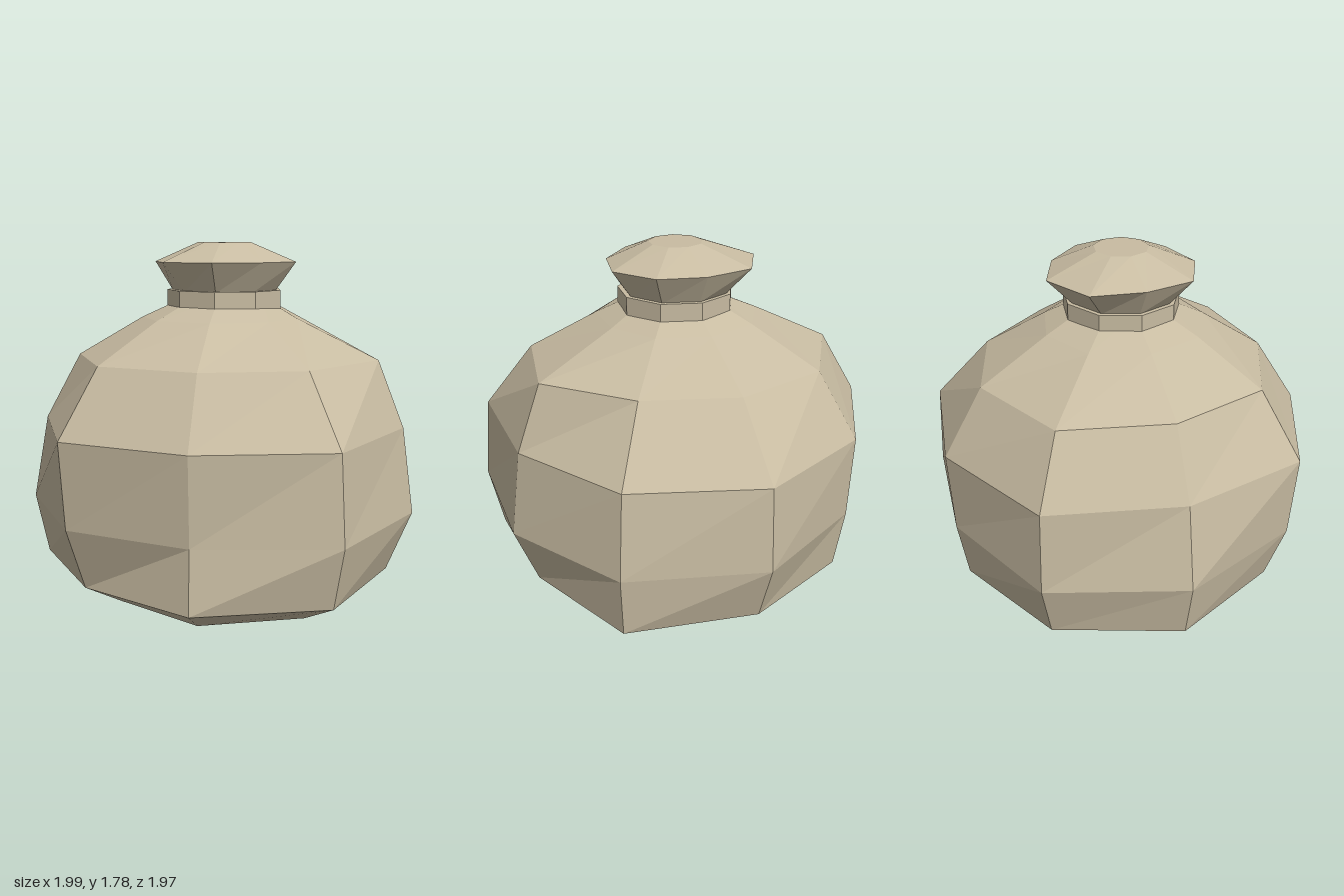
import * as THREE from 'three';

const SIDES = 9;
const CENTRE_X = -0.01;
const CENTRE_Z = 0.04;

// Faceted loft through rings of [height, radius or list of nine radii], closed at both ends.
function loft(rings) {
  const pos = [];
  const index = [];
  for (const [y, r] of rings) {
    for (let k = 0; k < SIDES; k++) {
      const a = (k / SIDES) * Math.PI * 2;
      const radius = Array.isArray(r) ? r[k] : r;
      pos.push(CENTRE_X + radius * Math.cos(a), y, CENTRE_Z + radius * Math.sin(a));
    }
  }
  const last = rings.length - 1;
  const bottom = rings.length * SIDES;
  const top = bottom + 1;
  pos.push(CENTRE_X, rings[0][0], CENTRE_Z, CENTRE_X, rings[last][0], CENTRE_Z);
  for (let k = 0; k < SIDES; k++) {
    const n = (k + 1) % SIDES;
    for (let i = 0; i < last; i++) {
      const a = i * SIDES + k;
      const b = i * SIDES + n;
      index.push(b, a, a + SIDES, b, a + SIDES, b + SIDES);
    }
    index.push(bottom, k, n);
    index.push(top, last * SIDES + n, last * SIDES + k);
  }
  const indexed = new THREE.BufferGeometry();
  indexed.setAttribute('position', new THREE.Float32BufferAttribute(pos, 3));
  indexed.setIndex(index);
  const geometry = indexed.toNonIndexed();
  geometry.computeVertexNormals();
  return geometry;
}

export function createModel() {
  const model = new THREE.Group();
  model.name = 'tiedSack';
  const cloth = new THREE.MeshStandardMaterial({ color: 0xc8bca2 });
  cloth.name = 'beigeCloth';
  cloth.flatShading = true;

  const add = (name, rings) => {
    const mesh = new THREE.Mesh(loft(rings), cloth);
    mesh.name = name;
    model.add(mesh);
  };

  // Bulging, uneven bag
  add('sackBody', [
    [0, [0.68, 0.76, 0.76, 0.68, 0.70, 0.74, 0.71, 0.70, 0.78]],
    [0.123, [0.88, 0.99, 0.96, 0.89, 0.96, 0.96, 0.92, 0.93, 1.02]],
    [0.433, [1.005, 1.065, 0.93, 0.99, 1.025, 1.053, 0.97, 1.04, 1.05]],
    [0.866, [0.946, 1.03, 0.948, 1.018, 0.945, 1.036, 0.99, 1.018, 0.995]],
    [1.2, [0.812, 0.77, 0.735, 0.79, 0.763, 0.837, 0.78, 0.72, 0.709]],
    [1.395, [0.39, 0.42, 0.43, 0.44, 0.43, 0.44, 0.42, 0.40, 0.40]],
    [1.5, 0.2],
  ]);

  // Band tied round the neck
  add('neckTie', [[1.44, 0.3], [1.537, 0.3]]);

  // Gathered cloth flaring out above the tie
  add('gatheredTop', [
    [1.53, 0.27],
    [1.68, [0.38, 0.355, 0.375, 0.40, 0.36, 0.42, 0.41, 0.355, 0.37]],
    [1.777, 0.14],
  ]);

  return model;
}
